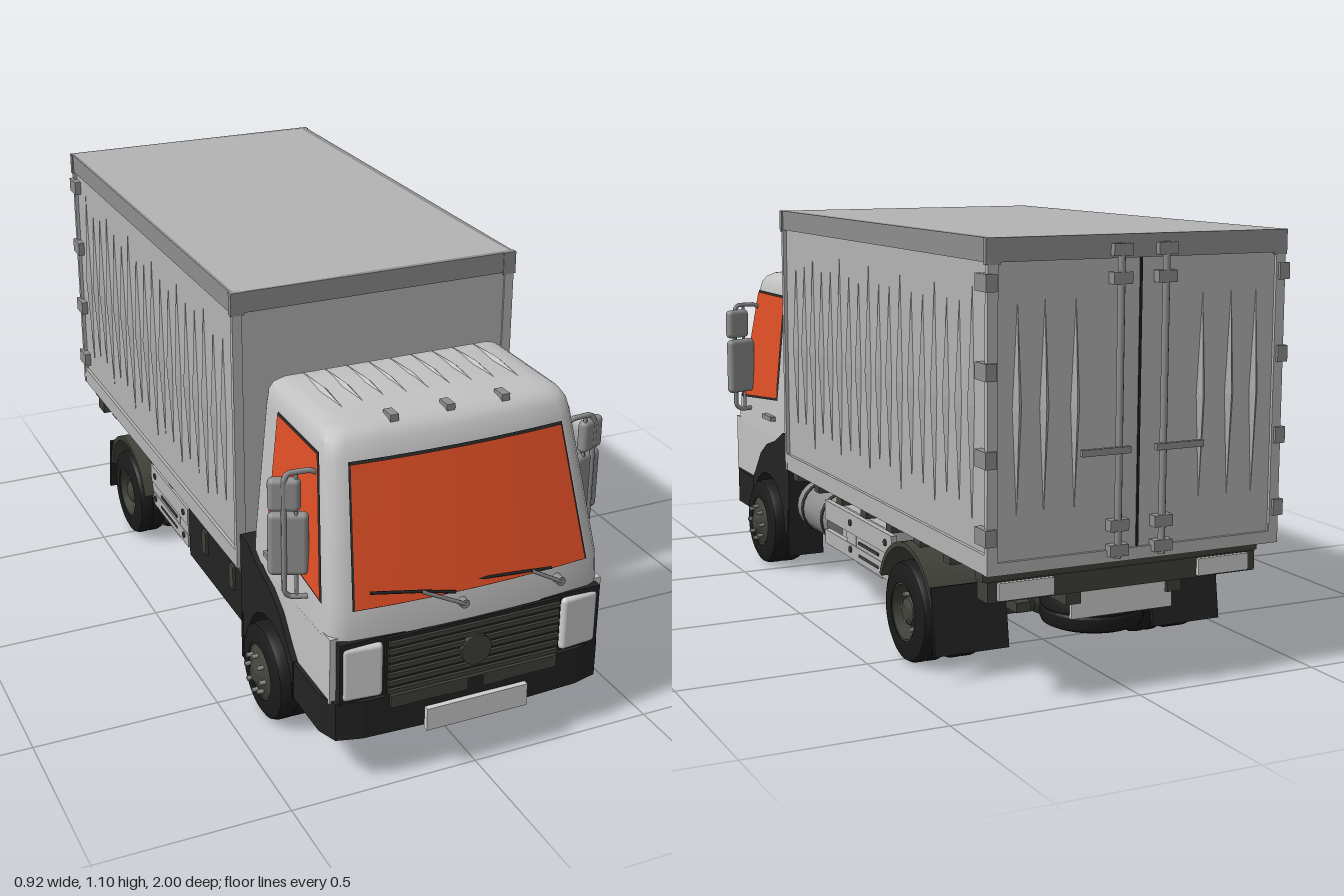
import * as THREE from 'three';
import { toCreasedNormals } from 'three/addons/utils/BufferGeometryUtils.js';
import { RoundedBoxGeometry } from 'three/addons/geometries/RoundedBoxGeometry.js';

const material = (name, color, side = THREE.FrontSide) => {
  const m = new THREE.MeshStandardMaterial({ color, side });
  m.name = name;
  return m;
};

export function createModel() {
  const truck = new THREE.Group();
  truck.name = 'boxTruck';
  const paint = material('cabPaint', 0xc2c2c2);
  const panel = material('cargoPanel', 0xb4b4b4);
  const trim = material('greyTrim', 0x8e8e8e);
  const glass = material('orangeGlass', 0xe04e26, THREE.DoubleSide);
  const black = material('blackPlastic', 0x232324);
  const rubber = material('tyreRubber', 0x1b1b1b);
  const olive = material('chassisOlive', 0x41423a);
  const lamp = material('lampWhite', 0xd0d0d0);

  const add = (name, geo, mat, x = 0, y = 0, z = 0, parent = truck) => {
    const m = new THREE.Mesh(geo, mat);
    m.name = name;
    m.position.set(x, y, z);
    parent.add(m);
    return m;
  };
  // box given by its limits on each axis
  const box = (name, mat, x0, x1, y0, y1, z0, z1) =>
    add(name, new THREE.BoxGeometry(x1 - x0, y1 - y0, z1 - z0), mat, (x0 + x1) / 2, (y0 + y1) / 2, (z0 + z1) / 2);
  const pairBox = (name, mat, x0, x1, ...r) => {
    box(name, mat, x0, x1, ...r);
    box(name, mat, -x1, -x0, ...r);
  };
  const tube = (name, pts, r, mat) => {
    const path = new THREE.CurvePath();
    const v = pts.map(p => new THREE.Vector3(...p));
    for (let i = 1; i < v.length; i++) path.add(new THREE.LineCurve3(v[i - 1], v[i]));
    return add(name, new THREE.TubeGeometry(path, 8 * (v.length - 1), r, 6), mat);
  };
  const rodZ = (name, mat, r, len, x, y, z) =>
    add(name, new THREE.CylinderGeometry(r, r, len, 20).rotateX(Math.PI / 2), mat, x, y, z);
  const rodX = (name, mat, r, len, x, y, z) =>
    add(name, new THREE.CylinderGeometry(r, r, len, 16).rotateZ(Math.PI / 2), mat, x, y, z);
  // side outline (z, y) given a thickness, on both sides of the truck
  const sidePair = (name, mat, shape, x0, x1) => {
    const g = new THREE.ExtrudeGeometry(shape, { depth: x1 - x0, bevelEnabled: false, curveSegments: 20 }).rotateY(-Math.PI / 2);
    add(name, g, mat, x1);
    add(name, g, mat, -x0);
  };
  const shapeOf = pts => new THREE.Shape(pts.map(p => new THREE.Vector2(...p)));

  // ---- Cab shell: horizontal sections [y, half width, front z, back z]
  const rows = [[0.40, 0.375, 0.968, 0.45], [0.48, 0.37, 0.962, 0.45], [0.82, 0.337, 0.857, 0.45],
    [0.858, 0.331, 0.842, 0.45], [0.877, 0.32, 0.825, 0.455], [0.888, 0.303, 0.80, 0.465], [0.894, 0.27, 0.75, 0.49]];
  const at = (y, k) => {
    const i = Math.max(1, rows.findIndex(r => r[0] >= y));
    const a = rows[i - 1], b = rows[i];
    return a[k] + (b[k] - a[k]) * (y - a[0]) / (b[0] - a[0]);
  };
  const frontPoint = (t, y) => {
    const x = t * (at(y, 1) - 0.045);
    return [x, y, at(y, 2) - 0.16 * x * x];
  };
  const ts = [0, 0.33, 0.67, 1];
  const pos = [], idx = [];
  for (const [y, w, , zb] of rows) {
    const half = ts.map(t => frontPoint(t, y));
    const zc = half[3][2];
    half.push([w - 0.018, y, zc - 0.012], [w - 0.004, y, zc - 0.03], [w, y, zc - 0.055],
      [w, y, zb + 0.02], [w - 0.006, y, zb + 0.006], [w - 0.02, y, zb]);
    const left = half.slice(1).reverse().map(p => [-p[0], p[1], p[2]]);
    pos.push(...[...left, ...half].flat());
  }
  const n = pos.length / 3 / rows.length;
  for (let j = 0; j < rows.length - 1; j++) for (let i = 0; i < n; i++) {
    const a = j * n + i, b = j * n + (i + 1) % n;
    idx.push(a, b, b + n, a, b + n, a + n);
  }
  const c = pos.length / 3, top = (rows.length - 1) * n;
  pos.push(0, 0.40, 0.7, 0, 0.899, 0.62);
  for (let i = 0; i < n; i++) {
    const k = (i + 1) % n;
    idx.push(k, i, c, top + i, top + k, c + 1);
  }
  const shell = new THREE.BufferGeometry();
  shell.setAttribute('position', new THREE.Float32BufferAttribute(pos, 3));
  shell.setIndex(idx);
  add('cabShell', toCreasedNormals(shell, 0.7), paint);

  // ---- Glass with dark seals
  const sheet = (name, grid, mat) => {
    const g = new THREE.BufferGeometry(), w = grid[0].length, ix = [];
    g.setAttribute('position', new THREE.Float32BufferAttribute(grid.flat(2), 3));
    for (let i = 0; i < w - 1; i++) ix.push(i, i + 1, w + i + 1, i, w + i + 1, w + i);
    g.setIndex(ix);
    g.computeVertexNormals();
    add(name, g, mat);
  };
  const seal = material('windowSeal', 0x2a2a2a, THREE.DoubleSide);
  const tt = [-1, -0.67, -0.33, 0, 0.33, 0.67, 1];
  const shield = (y0, y1, k, off) => [y0, y1].map(y => tt.map(t => {
    const p = frontPoint(t * k, y);
    return [p[0], y, p[2] + off];
  }));
  sheet('windscreenSeal', shield(0.48, 0.819, 0.985, 0.004), seal);
  sheet('windscreen', shield(0.482, 0.813, 0.97, 0.007), glass);
  for (const s of [1, -1]) {
    const quad = (pts, off) => pts.map(r => r.map(([z, y]) => [s * (at(y, 1) + off), y, z]));
    sheet('sideWindowSeal', quad([[[0.889, 0.481], [0.545, 0.514]], [[0.795, 0.832], [0.545, 0.834]]], 0.003), seal);
    sheet('sideWindow', quad([[[0.882, 0.488], [0.55, 0.52]], [[0.793, 0.826], [0.55, 0.828]]], 0.006), glass);
    box('doorHandle', trim, s * 0.38 - 0.008, s * 0.38 + 0.008, 0.448, 0.462, 0.56, 0.64);
  }

  // ---- Roof ribs and marker lamps
  for (let i = -4; i <= 4; i++) {
    const rib = add('roofRib', new THREE.OctahedronGeometry(1), paint, i * 0.06, 0.893, 0.6);
    rib.scale.set(0.012, 0.011, 0.13);
  }
  for (const x of [-0.15, 0, 0.15]) box('markerLamp', trim, x - 0.011, x + 0.011, 0.88, 0.9, 0.77, 0.81);

  // ---- Lower cab sides, front arches and bumper
  sidePair('lowerCabSide', paint, shapeOf([[0.94, 0.41], [0.94, 0.23], [0.73, 0.23], [0.70, 0.29],
    [0.64, 0.34], [0.57, 0.375], [0.5, 0.41]]), 0.27, 0.374);
  const arch = shapeOf([[0.40, 0.13], [0.40, 0.43], [0.45, 0.43], [0.52, 0.395], [0.60, 0.372], [0.66, 0.335],
    [0.715, 0.27], [0.745, 0.24], [0.745, 0.13]]);
  arch.absarc(0.595, 0.13, 0.15, 0, Math.PI, false);
  sidePair('frontArch', black, arch, 0.28, 0.388);
  pairBox('frontMudFlap', black, 0.28, 0.39, 0.06, 0.2, 0.402, 0.412);
  box('cabRearBeam', olive, -0.34, 0.34, 0.29, 0.43, 0.4, 0.46);
  const plan = shapeOf([[-0.385, -0.73], [-0.385, -0.9], [-0.365, -0.955], [-0.3, -0.972], [0, -0.985], [0.3, -0.972],
    [0.365, -0.955], [0.385, -0.9], [0.385, -0.73], [0.33, -0.73], [0.33, -0.9], [-0.33, -0.9], [-0.33, -0.73]]);
  add('bumper', new THREE.ExtrudeGeometry(plan, { depth: 0.105, bevelEnabled: false }).rotateX(-Math.PI / 2), black, 0, 0.133, 0);
  box('numberPlate', lamp, -0.14, 0.14, 0.128, 0.19, 0.985, 1.0);
  box('bumperIntake', olive, -0.23, 0.23, 0.208, 0.242, 0.95, 0.984);

  // ---- Grille and headlamps
  box('frontSurround', black, -0.358, 0.358, 0.235, 0.402, 0.92, 0.962);
  box('grillePanel', black, -0.24, 0.24, 0.235, 0.398, 0.95, 0.97);
  for (let i = 0; i < 7; i++) box('grilleSlat', olive, -0.235, 0.235, 0.244 + i * 0.022, 0.256 + i * 0.022, 0.96, 0.978);
  rodZ('grilleDisc', olive, 0.041, 0.02, 0, 0.315, 0.974);
  for (const s of [1, -1]) {
    add('headlamp', new RoundedBoxGeometry(0.106, 0.148, 0.05, 2, 0.012), lamp, s * 0.298, 0.316, 0.946).rotation.y = s * 0.1;
    box('turnLamp', lamp, s * 0.35 - 0.008, s * 0.35 + 0.008, 0.25, 0.385, 0.9, 0.945);
  }

  // ---- Wipers and mirrors
  const wiper = (px, ex, ey, bx0, by0, bx1, by1) => {
    rodZ('wiperPivot', trim, 0.012, 0.025, px, 0.45, 0.968);
    tube('wiperArm', [[px, 0.45, 0.978], [ex, ey, 0.972]], 0.005, trim);
    tube('wiperBlade', [[bx0, by0, 0.956], [ex, ey, 0.97], [bx1, by1, 0.974]], 0.004, black);
  };
  wiper(-0.035, -0.15, 0.507, -0.28, 0.525, -0.06, 0.487);
  wiper(0.232, 0.15, 0.495, -0.03, 0.501, 0.205, 0.493);
  for (const s of [1, -1]) {
    tube('mirrorBracket', [[s * 0.335, 0.775, 0.79], [s * 0.36, 0.788, 0.79], [s * 0.415, 0.788, 0.785],
      [s * 0.425, 0.77, 0.785], [s * 0.425, 0.47, 0.785], [s * 0.41, 0.456, 0.785], [s * 0.37, 0.456, 0.8]], 0.007, trim);
    tube('mirrorStay', [[s * 0.395, 0.785, 0.79], [s * 0.395, 0.46, 0.79]], 0.005, trim);
    for (const [w, h, x, y] of [[0.1, 0.168, 0.41, 0.597], [0.08, 0.088, 0.42, 0.73]])
      add('mirror', new RoundedBoxGeometry(w, h, 0.03, 3, 0.014), trim, s * x, y, 0.776).rotation.y = s * 0.4;
  }

  // ---- Cargo box
  box('cargoBody', panel, -0.388, 0.388, 0.335, 1.095, -0.972, 0.395);
  box('cargoRoof', panel, -0.39, 0.39, 1.09, 1.1, -0.972, 0.392);
  pairBox('topSideRail', trim, 0.38, 0.398, 1.045, 1.1, -0.978, 0.4);
  pairBox('bottomSideRail', panel, 0.37, 0.397, 0.33, 0.378, -0.978, 0.4);
  for (const [a, b] of [[0.385, 0.4], [-0.98, -0.965]]) {
    box('topEndRail', trim, -0.39, 0.39, 1.045, 1.1, a, b);
    box('bottomEndRail', panel, -0.39, 0.39, 0.33, 0.36, a, b);
    pairBox('cornerPost', panel, 0.372, 0.398, 0.33, 1.05, a, b);
    pairBox('cornerCap', trim, 0.366, 0.402, 1.04, 1.1, a, b + 0.002);
  }
  for (let i = 0; i < 18; i++) for (const s of [1, -1]) {
    const rib = add('cargoRib', new THREE.OctahedronGeometry(1), panel, s * 0.388, 0.71, 0.305 - i * 0.0697);
    rib.scale.set(0.013, i % 3 === 2 ? 0.28 : 0.24, 0.012);
  }

  // ---- Rear doors with lock rods, hinges and handles
  box('doorGap', black, -0.003, 0.003, 0.36, 1.045, -0.975, -0.96);
  for (const s of [1, -1]) {
    for (const x of [0.17, 0.25, 0.32])
      add('doorRib', new THREE.OctahedronGeometry(1), panel, s * x, 0.71, -0.972).scale.set(0.012, 0.25, 0.012);
    add('lockRod', new THREE.CylinderGeometry(0.009, 0.009, 0.74, 10), trim, s * 0.06, 0.71, -0.986);
    for (const y of [0.36, 0.42, 1.0, 1.065]) box('rodBracket', trim, s * 0.06 - 0.025, s * 0.06 + 0.025, y - 0.014, y + 0.014, -0.996, -0.97);
    box('doorHandleBar', trim, s * 0.1 - 0.065, s * 0.1 + 0.065, 0.592, 0.608, -1.0, -0.988);
    for (const y of [0.42, 0.6, 0.8, 1.0]) box('doorHinge', trim, s * 0.392 - 0.014, s * 0.392 + 0.014, y - 0.02, y + 0.02, -0.988, -0.93);
  }

  // ---- Chassis and drive line
  pairBox('chassisRail', olive, 0.12, 0.16, 0.22, 0.31, -0.92, 0.88);
  for (const z of [0.86, 0.3, 0, -0.3, -0.6, -0.88]) box('crossMember', olive, -0.13, 0.13, 0.23, 0.29, z - 0.02, z + 0.02);
  for (let i = 0; i < 8; i++) box('floorBearer', olive, -0.38, 0.38, 0.3, 0.335, 0.34 - i * 0.18, 0.38 - i * 0.18);
  box('engine', olive, -0.11, 0.11, 0.15, 0.4, 0.48, 0.84);
  box('gearbox', trim, -0.07, 0.07, 0.15, 0.29, 0.24, 0.48);
  rodZ('driveShaft', olive, 0.022, 0.75, 0, 0.17, -0.14);
  rodX('frontAxle', olive, 0.03, 0.62, 0, 0.13, 0.595);
  rodX('rearAxle', olive, 0.04, 0.6, 0, 0.13, -0.52);
  add('differential', new THREE.SphereGeometry(0.075, 16, 12), olive, 0, 0.15, -0.52);
  pairBox('leafSpring', olive, 0.17, 0.21, 0.165, 0.19, -0.76, -0.28);
  pairBox('leafSpring', olive, 0.17, 0.21, 0.165, 0.19, 0.4, 0.8);

  // ---- Side equipment
  box('batteryBox', black, -0.375, -0.18, 0.145, 0.305, -0.04, 0.4);
  for (const z of [0.1, 0.31]) box('boxLatch', olive, -0.383, -0.37, 0.22, 0.29, z - 0.015, z + 0.015);
  rodZ('fuelTank', trim, 0.075, 0.25, 0.295, 0.22, 0.25);
  for (const z of [0.17, 0.33]) rodZ('tankStrap', olive, 0.078, 0.015, 0.295, 0.22, z);
  box('airTank', panel, 0.2, 0.34, 0.16, 0.28, -0.26, 0.08);
  for (const [s, z1] of [[-1, -0.045], [1, 0.12]]) {
    const guard = (name, mat, o, y0, y1, a, b) => box(name, mat, s * 0.37 - o, s * 0.37 + o, y0, y1, a, b);
    guard('guardRail', panel, 0.008, 0.235, 0.29, -0.37, z1);
    guard('guardRail', panel, 0.008, 0.165, 0.205, -0.35, z1);
    guard('guardPlate', panel, 0.006, 0.16, 0.25, -0.3, -0.12);
    for (const z of [-0.33, -0.08]) {
      guard('guardBracket', panel, 0.006, 0.165, 0.29, z - 0.035, z + 0.035);
      for (const y of [0.19, 0.265]) rodX('guardBolt', olive, 0.009, 0.024, s * 0.37, y, z);
    }
    for (const y of [0.185, 0.22]) guard('guardSlot', olive, 0.0095, y - 0.004, y + 0.004, -0.28, -0.14);
  }

  // ---- Rear arches, flaps, spare, bumper and lamps
  const guardArc = new THREE.Shape();
  guardArc.absarc(-0.52, 0.13, 0.178, 0.35, Math.PI - 0.15, false);
  guardArc.absarc(-0.52, 0.13, 0.165, Math.PI - 0.15, 0.35, true);
  sidePair('rearArch', olive, guardArc, 0.21, 0.405);
  for (const s of [1, -1]) add('rearMudFlap', new THREE.BoxGeometry(0.2, 0.17, 0.01), black, s * 0.308, 0.15, -0.7).rotation.x = 0.15;
  box('rearBumper', olive, -0.37, 0.37, 0.25, 0.3, -0.925, -0.87);
  pairBox('rearLamp', lamp, 0.2, 0.345, 0.255, 0.298, -0.935, -0.92);
  box('rearPlate', lamp, -0.14, 0.14, 0.18, 0.245, -0.91, -0.9);

  // ---- Wheels: lathe profiles [radius, offset along axle]
  const lathe = pts => new THREE.LatheGeometry(pts.map(p => new THREE.Vector2(...p)), 36);
  const tyre = w => toCreasedNormals(lathe([[0.075, -w], [0.11, -w], [0.125, -w * 0.85], [0.13, -w * 0.6], [0.13, -0.006], [0.126, 0],
    [0.13, 0.006], [0.13, w * 0.6], [0.125, w * 0.85], [0.11, w], [0.075, w], [0.075, -w]]), 0.6);
  const rim = (w, dish, hub) => toCreasedNormals(lathe([[0, -w * 0.8], [0.078, -w * 0.8], [0.078, w * 0.95], [0.07, w * 0.95],
    [0.065, dish], [0.04, dish + 0.006], [0.034, hub], [0.02, hub + 0.008], [0, hub + 0.008]]), 0.5);
  const wheel = (name, x, y, z, w, dish, hub, turn) => {
    const g = new THREE.Group();
    g.name = name;
    g.position.set(x, y, z);
    g.rotation.z = turn;
    add('tyre', tyre(w), rubber, 0, 0, 0, g);
    add('rim', rim(w, dish, hub), olive, 0, 0, 0, g);
    for (let i = 0; i < 8; i++) {
      const a = i * Math.PI / 4;
      add('wheelBolt', new THREE.CylinderGeometry(0.006, 0.006, 0.02, 6), trim, 0.05 * Math.cos(a), dish + 0.01, 0.05 * Math.sin(a), g);
    }
    truck.add(g);
  };
  for (const s of [1, -1]) {
    wheel('frontWheel', s * 0.36, 0.13, 0.595, 0.057, 0.058, 0.068, -s * Math.PI / 2);
    wheel('rearOuterWheel', s * 0.367, 0.13, -0.52, 0.044, 0.005, 0.03, -s * Math.PI / 2);
    wheel('rearInnerWheel', s * 0.27, 0.13, -0.52, 0.044, 0.005, 0.02, -s * Math.PI / 2);
  }
  wheel('spareWheel', 0, 0.165, -0.76, 0.045, 0.005, 0.02, Math.PI);
  return truck;
}
